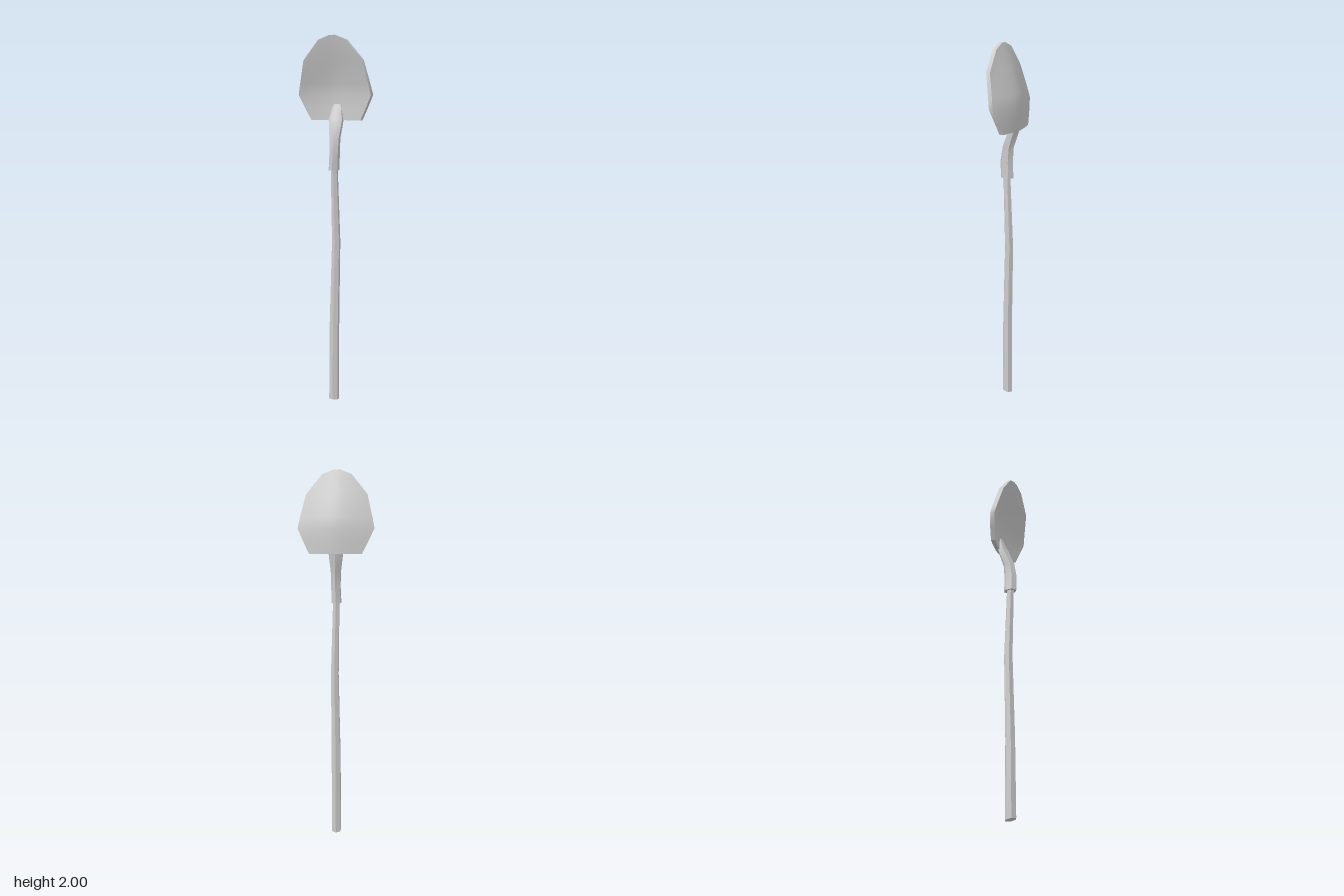
import * as THREE from 'three';
import { toCreasedNormals } from 'three/addons/utils/BufferGeometryUtils.js';

const material = new THREE.MeshStandardMaterial({ color: 0xcccccc });

// Skin a stack of closed rings (bottom to top) and close both ends
function loft(name, rings) {
  const pos = [];
  const quad = (a, b, c, d) => pos.push(...a, ...b, ...c, ...a, ...c, ...d);
  const n = rings[0].length;
  for (let r = 0; r < rings.length - 1; r++) {
    for (let i = 0; i < n; i++) {
      const j = (i + 1) % n;
      quad(rings[r][i], rings[r][j], rings[r + 1][j], rings[r + 1][i]);
    }
  }
  const low = rings[0], top = rings[rings.length - 1];
  for (let i = 0; i < n / 2 - 1; i++) {
    const a = i, b = i + 1, c = n - 2 - i, d = n - 1 - i;
    quad(low[d], low[c], low[b], low[a]);
    quad(top[a], top[b], top[c], top[d]);
  }
  const geo = new THREE.BufferGeometry();
  geo.setAttribute('position', new THREE.Float32BufferAttribute(pos, 3));
  const mesh = new THREE.Mesh(toCreasedNormals(geo, 0.7), material);
  mesh.name = name;
  return mesh;
}

// Six-sided ring with one corner facing the front
function hexRing([y, cx, cz, rx, rz, tilt = 0]) {
  return Array.from({ length: 6 }, (_, i) => {
    const a = (i * Math.PI) / 3;
    return [cx + rx * Math.sin(a), y + tilt * Math.cos(a), cz + rz * Math.cos(a)];
  });
}

// Dished blade section: front face left to right, then back face right to left
function bladeRing([y, width, zEdge, zMiddle, thick]) {
  const steps = [-1, -0.75, -0.5, -0.24, 0, 0.24, 0.5, 0.75, 1];
  const row = (w, dz) => steps.map((u) =>
    [u * w, y, zMiddle + (zEdge - zMiddle) * Math.abs(u) ** 1.5 - dz]);
  return [...row(width * 0.97, 0), ...row(width, thick).reverse()];
}

export function createModel() {
  const group = new THREE.Group();
  group.name = 'shovel';

  // Slightly crooked wooden shaft: y, centre x, centre z, radius x, radius z, tilt
  group.add(loft('handle', [
    [0.006, 0, 0.02, 0.028, 0.031, 0.006],
    [0.43, 0.001, 0.018, 0.027, 0.028],
    [0.9, 0.007, 0.005, 0.023, 0.025],
    [1.3, 0.001, 0.021, 0.019, 0.021],
  ].map(hexRing)));

  // Bent socket that flares into the blade
  group.add(loft('socket', [
    [1.29, 0, 0.02, 0.029, 0.038],
    [1.38, 0.003, 0.021, 0.027, 0.037],
    [1.46, 0.002, 0.012, 0.03, 0.033],
    [1.555, -0.002, -0.022, 0.043, 0.029],
    [1.64, 0, -0.042, 0.025, 0.012],
  ].map(hexRing)));

  // Blade: y, half width, edge z, middle z, thickness
  group.add(loft('blade', [
    [1.555, 0.142, -0.008, -0.034, 0.024],
    [1.62, 0.174, 0.002, -0.036, 0.024],
    [1.69, 0.207, 0.016, -0.035, 0.025],
    [1.75, 0.194, 0.027, -0.026, 0.025],
    [1.87, 0.165, 0.053, 0.018, 0.025],
    [1.975, 0.08, 0.058, 0.05, 0.021],
    [2.0, 0.016, 0.057, 0.056, 0.018],
  ].map(bladeRing)));

  return group;
}
